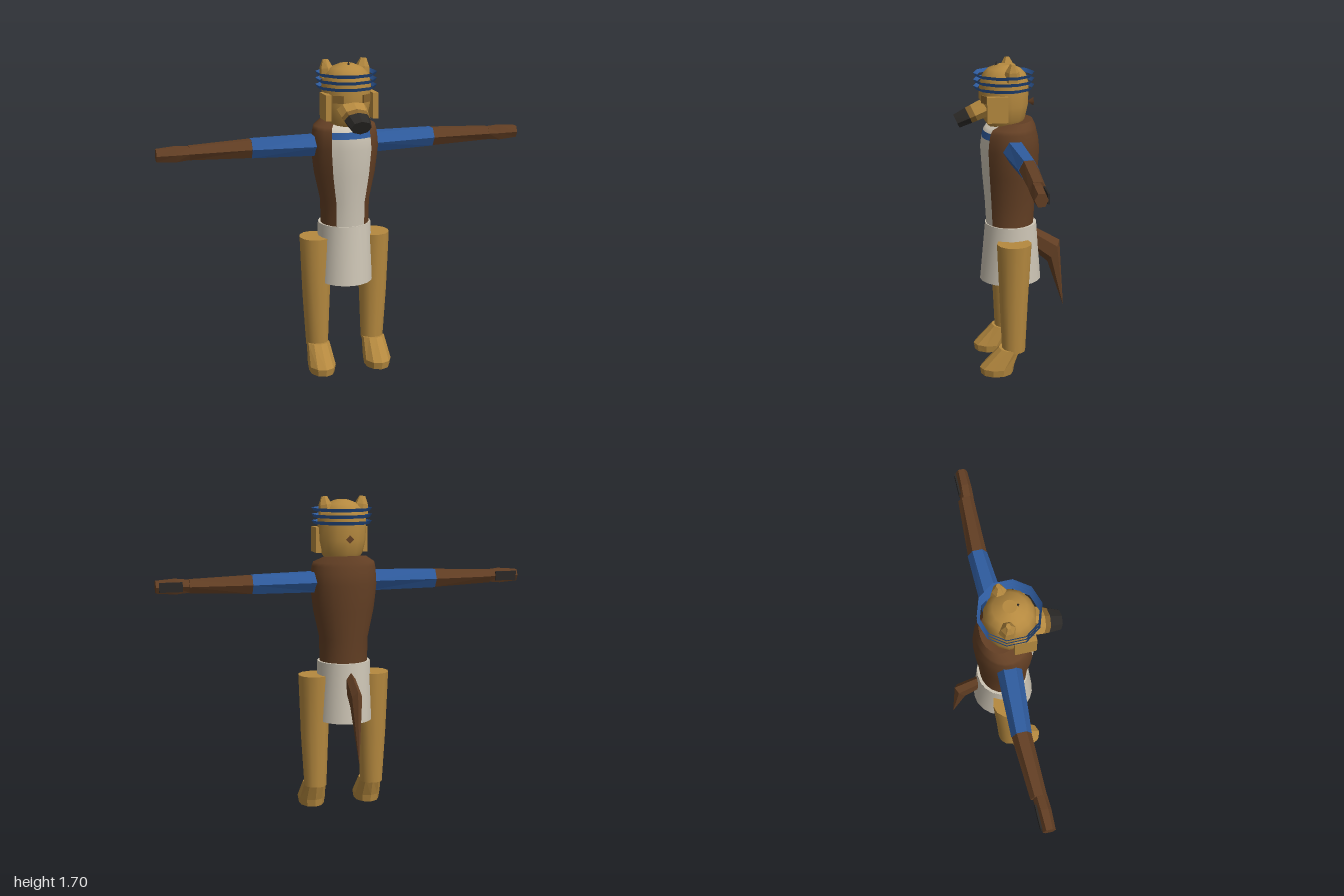
import * as THREE from 'three';

const mat = (name, color, extra = {}) => {
  const m = new THREE.MeshStandardMaterial({ color, ...extra });
  m.name = name;
  return m;
};

// Loft through rings [y, centreX, centreZ, radiusX, radiusZ, slope], listed upward.
function loft(rings, { segs = 12, from = 0, arc = Math.PI * 2, caps = true, flat = false } = {}) {
  const pos = [], idx = [];
  const full = arc > 6.28, n = full ? segs : segs + 1;
  const addRing = ([y, cx, cz, rx, rz, slope = 0]) => {
    for (let j = 0; j < n; j++) {
      const a = from + (arc * j) / segs, dz = Math.cos(a) * rz;
      pos.push(cx + Math.sin(a) * rx, y + slope * dz, cz + dz);
    }
  };
  rings.forEach(addRing);
  for (let i = 0; i < rings.length - 1; i++)
    for (let j = 0; j < segs; j++) {
      const k = (j + 1) % n, a = i * n + j, b = i * n + k;
      idx.push(a, b, b + n, a, b + n, a + n);
    }
  if (caps)
    for (const top of [false, true]) {
      const r = top ? rings[rings.length - 1] : rings[0], start = pos.length / 3;
      addRing(r);
      pos.push(r[1], r[0], r[2]);
      for (let j = 0; j < segs; j++) {
        const a = start + j, b = start + (j + 1) % n;
        idx.push(start + n, top ? a : b, top ? b : a);
      }
    }
  let g = new THREE.BufferGeometry();
  g.setAttribute('position', new THREE.Float32BufferAttribute(pos, 3));
  g.setIndex(idx);
  if (flat) g = g.toNonIndexed();
  g.computeVertexNormals();
  return g;
}

export function createModel() {
  const gold = mat('gold fur', 0xb5893f);
  const darkGold = mat('dark gold fur', 0x85622c);
  const brown = mat('brown leather', 0x633f24);
  const blue = mat('blue cloth', 0x2f5c9f, { side: THREE.DoubleSide });
  const white = mat('pale linen', 0xcdc5b5, { side: THREE.DoubleSide });
  const black = mat('black', 0x2b2927);

  const model = new THREE.Group();
  const add = (parent, name, geo, material, x = 0, y = 0, z = 0) => {
    const m = new THREE.Mesh(geo, material);
    m.name = name;
    m.position.set(x, y, z);
    parent.add(m);
    return m;
  };

  // Torso: brown back and sides, pale front panel, blue collar
  const half = 0.64;
  const lower = [
    [0.82, 0, 0, 0.13, 0.128], [0.95, 0, 0, 0.132, 0.135], [1.1, 0, 0, 0.165, 0.148],
    [1.24, 0, 0, 0.182, 0.157], [1.3, 0, 0, 0.177, 0.15],
  ];
  const collar = [1.335, 0, 0, 0.172, 0.141];
  const upper = [[1.355, 0, -0.005, 0.166, 0.132], [1.385, 0, -0.03, 0.115, 0.09, -0.08]];
  add(model, 'torsoBack', loft([...lower, collar, ...upper], { segs: 18, from: half, arc: Math.PI * 2 - 2 * half }), brown);
  const front = { segs: 6, from: -half, arc: 2 * half };
  add(model, 'torsoFront', loft(lower, front), white);
  add(model, 'collar', loft([lower[4], collar], { ...front, caps: false }), blue);
  add(model, 'collarTop', loft([collar, ...upper], front), white);
  add(model, 'neck', new THREE.CylinderGeometry(0.085, 0.085, 0.1, 12), gold, 0, 1.36, 0.02);

  // Skirt with a recessed floor
  add(model, 'skirt', loft([[0.5, 0, -0.003, 0.153, 0.167], [0.82, 0, -0.005, 0.143, 0.14]], { segs: 20, caps: false }), white);
  add(model, 'skirtTop', loft([[0.818, 0, -0.005, 0.142, 0.139], [0.822, 0, -0.005, 0.142, 0.139]], { segs: 20 }), white);
  add(model, 'skirtFloor', loft([[0.52, 0, -0.003, 0.148, 0.162], [0.524, 0, -0.003, 0.148, 0.162]], { segs: 20 }), white);

  // Tail
  add(model, 'tail', loft([
    [0.32, 0, -0.3, 0.001, 0.001], [0.64, 0, -0.243, 0.032, 0.033, -1.85], [0.715, 0, -0.135, 0.028, 0.008, -8],
  ], { segs: 6, flat: true }), brown);

  // Head
  const head = new THREE.Group();
  head.name = 'head';
  head.position.z = 0.03;
  model.add(head);
  add(head, 'skull', loft([
    [1.36, 0, 0, 0.085, 0.085], [1.4, 0, 0, 0.112, 0.112], [1.47, 0, 0, 0.128, 0.128],
    [1.58, 0, 0, 0.13, 0.13], [1.63, 0, 0, 0.114, 0.114], [1.66, 0, 0, 0.085, 0.085], [1.68, 0, 0, 0.035, 0.035],
  ], { segs: 14 }), gold);
  for (const y of [1.553, 1.587, 1.621])
    add(head, 'headBand', loft([[y, 0, 0, 0.149, 0.149], [y + 0.018, 0, 0, 0.161, 0.161]], { segs: 10, caps: false }), blue);

  // Muzzle pointing forward and down
  const muzzle = new THREE.Group();
  muzzle.name = 'muzzle';
  muzzle.position.set(0, 1.455, 0.1);
  muzzle.rotation.x = 2.0;
  head.add(muzzle);
  const steps = [[-0.05, 0, 0, 0.085, 0.052], [0.065, 0, 0, 0.074, 0.047], [0.095, 0, 0, 0.07, 0.045], [0.166, 0, 0, 0.055, 0.039]];
  ['muzzleBase', 'muzzleBand', 'nose'].forEach((name, i) =>
    add(muzzle, name, loft([steps[i], steps[i + 1]], { segs: 8, flat: true }), [gold, darkGold, black][i]));

  // Small tufts on the crown and the back of the head
  add(head, 'crownTuft', new THREE.ConeGeometry(0.012, 0.035, 4), black, 0, 1.68, 0.04);
  const tuft = add(head, 'backTuft', new THREE.ConeGeometry(0.022, 0.035, 4), brown, 0, 1.48, -0.138);
  tuft.rotation.x = Math.PI / 2;

  // Paired parts, mirrored across x
  for (const side of [1, -1]) {
    const pair = new THREE.Group();
    pair.name = side > 0 ? 'leftSide' : 'rightSide';
    pair.scale.x = side;
    model.add(pair);

    // Ear, cheek flap and eye patch
    const ear = add(pair, 'ear', loft([
      [-0.05, 0, 0, 0.042, 0.046], [0.0, 0, 0, 0.036, 0.036], [0.042, 0, 0, 0.017, 0.012],
    ], { segs: 6, flat: true }), gold, 0.1, 1.658, 0);
    ear.rotation.z = -0.12;
    add(pair, 'cheekFlap', new THREE.BoxGeometry(0.03, 0.135, 0.11), gold, 0.128, 1.468, 0.08);
    const eye = add(pair, 'eyePatch', new THREE.BoxGeometry(0.06, 0.04, 0.009), darkGold, 0.077, 1.51, 0.135);
    eye.rotation.y = 0.63;

    // Arm: six-sided, built upright then laid along x
    const arm = new THREE.Group();
    arm.name = 'arm';
    arm.position.y = 1.252;
    arm.rotation.z = -Math.PI / 2;
    pair.add(arm);
    const hex = { segs: 6, flat: true };
    add(arm, 'sleeve', loft([[0.13, 0, -0.004, 0.062, 0.065], [0.505, 0, -0.024, 0.056, 0.052]], hex), blue);
    add(arm, 'forearm', loft([[0.505, 0, -0.024, 0.054, 0.05], [0.83, 0, -0.015, 0.04, 0.042]], hex), brown);
    add(arm, 'hand', loft([
      [0.83, 0, -0.008, 0.037, 0.036], [0.9, 0, -0.005, 0.045, 0.036], [1.0, 0, -0.004, 0.036, 0.032],
    ], hex), brown);
    add(arm, 'handPlate', new THREE.BoxGeometry(0.05, 0.12, 0.009), black, 0, 0.925, -0.04);

    // Leg and foot
    add(pair, 'leg', loft([
      [0.13, 0.16, 0, 0.062, 0.064], [0.42, 0.163, 0, 0.077, 0.077], [0.75, 0.166, -0.002, 0.086, 0.093],
    ], { segs: 12 }), gold);
    add(pair, 'foot', loft([
      [0, 0.16, 0.092, 0.068, 0.088], [0.04, 0.16, 0.092, 0.075, 0.095], [0.145, 0.16, 0.022, 0.063, 0.06, 0.08],
    ], { segs: 10, flat: true }), gold);
  }
  return model;
}
